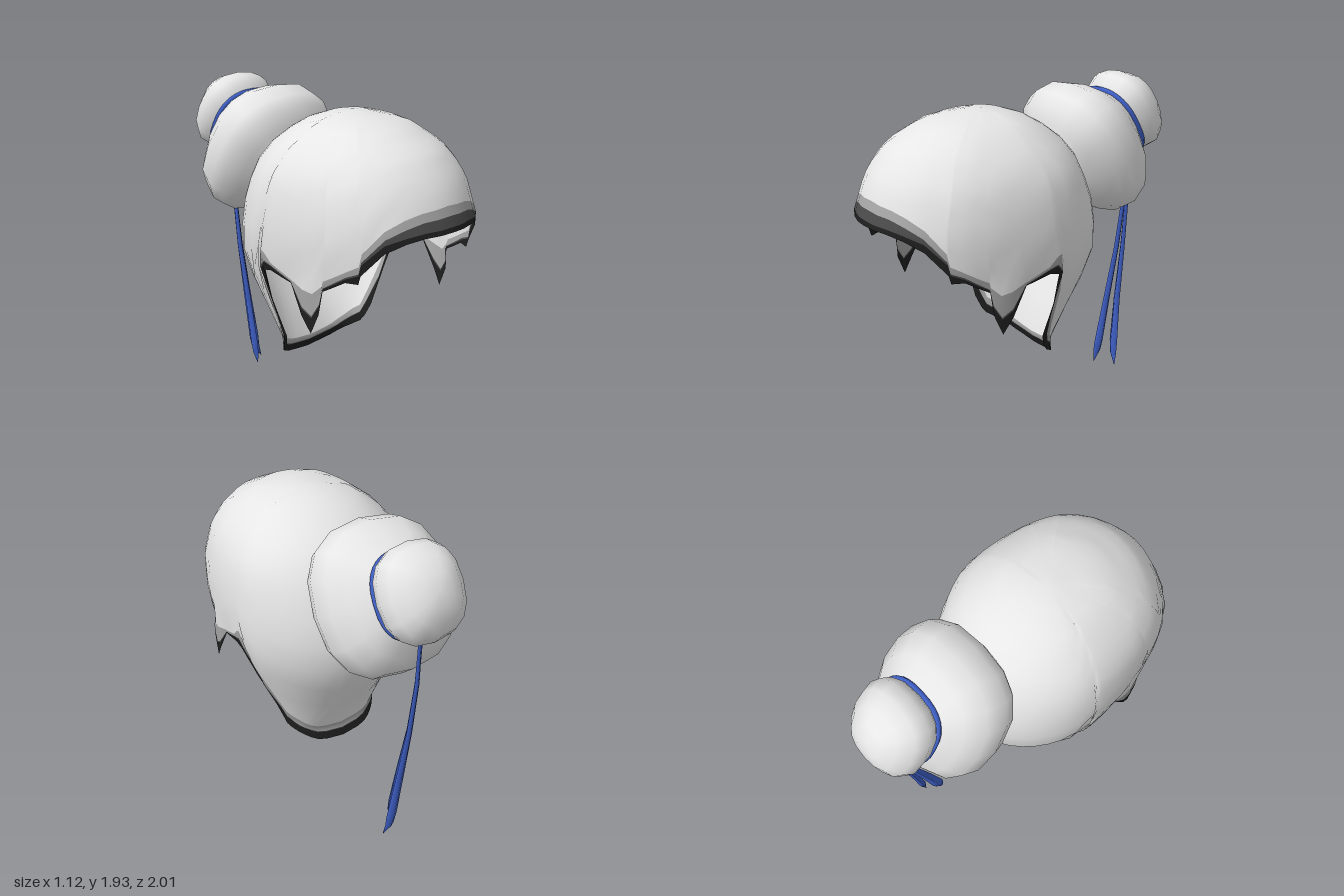
import * as THREE from 'three';
import { mergeVertices } from 'three/addons/utils/BufferGeometryUtils.js';

const mat = (name, color) => {
  const m = new THREE.MeshStandardMaterial({ color, side: THREE.DoubleSide });
  m.name = name;
  return m;
};

// Cap cross-sections by height: y, half width, front z, back z, centre z
const LEVELS = [
  [1.855, 0, 0.25, 0.25, 0.25],
  [1.842, 0.13, 0.42, 0.13, 0.25],
  [1.81, 0.255, 0.58, 0.02, 0.25],
  [1.7, 0.4, 0.79, -0.17, 0.23],
  [1.6, 0.48, 0.88, -0.26, 0.21],
  [1.52, 0.52, 0.93, -0.31, 0.2],
  [1.33, 0.555, 1.0, -0.39, 0.2],
  [1.15, 0.56, 1.0, -0.42, 0.17],
  [1.0, 0.54, 0.99, -0.41, 0.14],
  [0.75, 0.44, 0.98, -0.3, 0.13],
  [0.57, 0.355, 0.9, -0.18, 0.12],
  [0.47, 0.33, 0.9, -0.11, 0.11],
  [0.4, 0.33, 0.9, -0.1, 0.1],
  [0.3, 0.34, 0.9, -0.13, 0.08],
];

const { clamp, lerp } = THREE.MathUtils;
const mix = (a, b, t) => a.map((v, k) => lerp(v, b[k], t));
const signedPow = (v, e) => Math.sign(v) * Math.pow(Math.abs(v), e);

function level(y) {
  let i = 0;
  while (i < LEVELS.length - 2 && y < LEVELS[i + 1][0]) i++;
  const a = LEVELS[i], b = LEVELS[i + 1];
  return mix(a, b, clamp((a[0] - y) / (a[0] - b[0]), 0, 1));
}

// Point on the cap at an angle from the front and a height
function capPoint(phi, y) {
  let [, w, zf, zb, zc] = level(y);
  const c = Math.cos(phi), s = Math.sin(phi);
  if (c > 0 && y < 1) w = 0.56;
  // Squarer at the temples and around the nape
  const e = c > 0 ? 1 - 0.7 * c * s * s : lerp(1, 0.6, clamp((0.65 - y) / 0.2, 0, 1));
  return [w * signedPow(s, e), y, zc + c * (c > 0 ? zf - zc : zc - zb)];
}

// Hem on one side from front to back: z, y, then the tops of the
// black, dark and mid grey borders above the hem
const HEM = [
  [1.0, 1.33, 0.025, 0.08, 0.13], [0.965, 1.325, 0.025, 0.075, 0.12],
  [0.92, 1.305, 0.03, 0.07, 0.115],
  [0.85, 1.255, 0.045, 0.075, 0.115], [0.755, 1.13, 0.06, 0.075, 0.12],
  [0.74, 1.08, 0.05, 0.06, 0.1], [0.675, 1.08, 0.02, 0.03, 0.06],
  [0.54, 1.0, 0.015, 0.02, 0.06], [0.53, 0.87, 0.05, 0.06, 0.16],
  [0.48, 0.75, 0.09, 0.1, 0.23], [0.42, 0.84, 0.04, 0.05, 0.15],
  [0.33, 1.0, 0.006, 0.008, 0.02], [0.18, 1.035, 0.025, 0.03, 0.045],
  [0.12, 1.02, 0.05, 0.06, 0.11], [0.09, 0.8, 0.22, 0.24, 0.34],
  [0.08, 0.55, 0.15, 0.17, 0.34], [0.05, 0.47, 0.08, 0.085, 0.16],
  [0.02, 0.43, 0.055, 0.06, 0.1], [-0.07, 0.37, 0.045, 0.05, 0.085],
  [-0.11, 0.33, 0.045, 0.05, 0.085], [-0.13, 0.305, 0.045, 0.05, 0.085],
];

// Columns around the cap: angle, hem height, border tops
function hemColumns() {
  const pts = HEM.map(([z, y, ...bands], i) => {
    const [, , zf, zb, zc] = level(y);
    const c = (z - zc) / (z > zc ? zf - zc : zc - zb);
    const phi = i === 0 ? 0 : i === HEM.length - 1 ? Math.PI : Math.acos(clamp(c, -1, 1));
    return [phi, y, ...bands];
  });
  const half = [];
  for (let i = 0; i < pts.length - 1; i++) {
    const a = pts[i], b = pts[i + 1];
    const n = Math.max(1, Math.ceil((b[0] - a[0]) / 0.17));
    for (let k = 0; k < n; k++) half.push(mix(a, b, k / n));
  }
  half.push(pts[pts.length - 1]);
  const mirrored = half.slice(1, -1).reverse().map(([p, ...rest]) => [2 * Math.PI - p, ...rest]);
  return [...half, ...mirrored];
}

// Open shell, split by row into the main colour and the border bands
function capGeometry() {
  const cols = hemColumns(), n = cols.length, rows = 12, top = LEVELS[0][0];
  const pos = [], index = [];
  for (let j = 0; j <= rows + 3; j++) {
    for (const [phi, hem, black, dark, mid] of cols) {
      const y = j <= rows
        ? top - (top - hem - mid) * Math.pow(j / rows, 1.8)
        : hem + [dark, black, 0][j - rows - 1];
      pos.push(...capPoint(phi, y));
    }
  }
  for (let j = 0; j < rows + 3; j++) {
    for (let i = 0; i < n; i++) {
      const k = (i + 1) % n;
      const a = j * n + i, b = j * n + k, c = a + n, d = b + n;
      index.push(a, c, b, b, c, d);
    }
  }
  let g = new THREE.BufferGeometry();
  g.setAttribute('position', new THREE.Float32BufferAttribute(pos, 3));
  g.setIndex(index);
  g = mergeVertices(g, 1e-4);
  g.computeVertexNormals();
  g.addGroup(0, rows * n * 6, 0);
  for (let k = 0; k < 3; k++) g.addGroup((rows + k) * n * 6, n * 6, k + 1);
  return g;
}

// Turns the round section about the y axis into a slightly squared one
function squared(geometry) {
  geometry.deleteAttribute('uv');
  geometry.deleteAttribute('normal');
  const g = mergeVertices(geometry, 1e-4), p = g.attributes.position;
  for (let i = 0; i < p.count; i++) {
    const x = p.getX(i), z = p.getZ(i), r = Math.hypot(x, z) || 1;
    p.setX(i, r * signedPow(x / r, 0.8));
    p.setZ(i, r * signedPow(z / r, 0.8));
  }
  g.computeVertexNormals();
  return g;
}

// Four-sided tapering strip through rows of x, y, z, half width, half depth
function ribbonGeometry(path) {
  const pos = [], index = [];
  for (const [x, y, z, w, d] of path) {
    pos.push(x + w, y, z, x, y, z + d, x - w, y, z, x, y, z - d);
  }
  for (let j = 0; j < path.length - 1; j++) {
    for (let i = 0; i < 4; i++) {
      const a = j * 4 + i, b = j * 4 + (i + 1) % 4;
      index.push(a, b, a + 4, b, b + 4, a + 4);
    }
  }
  const g = new THREE.BufferGeometry();
  g.setAttribute('position', new THREE.Float32BufferAttribute(pos, 3));
  g.setIndex(index);
  g.computeVertexNormals();
  return g;
}

export function createModel() {
  const group = new THREE.Group();
  const main = mat('pale grey', 0xe6e6e6);
  const mid = mat('mid grey', 0xa4a4a4);
  const dark = mat('dark grey', 0x4a4a4a);
  const black = mat('near black', 0x1e1e1e);
  const blue = mat('blue', 0x3f60c8);
  const add = (parent, name, geometry, material) => {
    const mesh = new THREE.Mesh(geometry, material);
    mesh.name = name;
    parent.add(mesh);
    return mesh;
  };

  add(group, 'hairCap', capGeometry(), [main, mid, dark, black]);

  // Buns and tie share one tilted axis, with the origin at the neck between them
  const buns = new THREE.Group();
  buns.name = 'topknot';
  buns.position.set(0, 1.645, -0.725);
  buns.rotation.x = -1.036;
  buns.scale.x = 0.93;
  group.add(buns);
  const bun = (pts, n) => squared(new THREE.LatheGeometry(pts.map(p => new THREE.Vector2(...p)), n));
  add(buns, 'lowerBun', bun([
    [0.25, -0.5], [0.335, -0.44], [0.405, -0.37], [0.43, -0.29],
    [0.405, -0.17], [0.325, -0.08], [0.21, 0],
  ], 16), main);
  add(buns, 'upperBun', bun([
    [0.205, -0.01], [0.245, 0.035], [0.263, 0.1], [0.235, 0.17], [0.17, 0.23], [0.09, 0.265], [0, 0.278],
  ], 16), main);
  add(buns, 'hairTie', squared(new THREE.TorusGeometry(0.225, 0.015, 6, 32).rotateX(Math.PI / 2)), blue);

  // Knot and hanging ribbons
  const knot = add(group, 'ribbonKnot', new THREE.SphereGeometry(0.03, 10, 8), blue);
  knot.position.set(0.01, 1.45, -0.84);
  add(group, 'frontRibbon', ribbonGeometry([
    [0.005, 1.45, -0.845, 0.012, 0.012], [0.005, 1.15, -0.83, 0.015, 0.016],
    [0.002, 0.8, -0.785, 0.018, 0.021], [0.002, 0.45, -0.715, 0.021, 0.028],
    [0, 0.15, -0.66, 0.024, 0.036], [0, 0.08, -0.647, 0.02, 0.03],
    [-0.002, 0.01, -0.625, 0.002, 0.002],
  ]), blue);
  add(group, 'backRibbon', ribbonGeometry([
    [0.01, 1.45, -0.845, 0.012, 0.01], [0.015, 1.15, -0.845, 0.016, 0.013],
    [0.025, 0.8, -0.815, 0.02, 0.016], [0.04, 0.45, -0.77, 0.028, 0.019],
    [0.06, 0.15, -0.737, 0.036, 0.022], [0.068, 0.07, -0.73, 0.03, 0.019],
    [0.1, 0, -0.715, 0.002, 0.002],
  ]), blue);

  return group;
}
